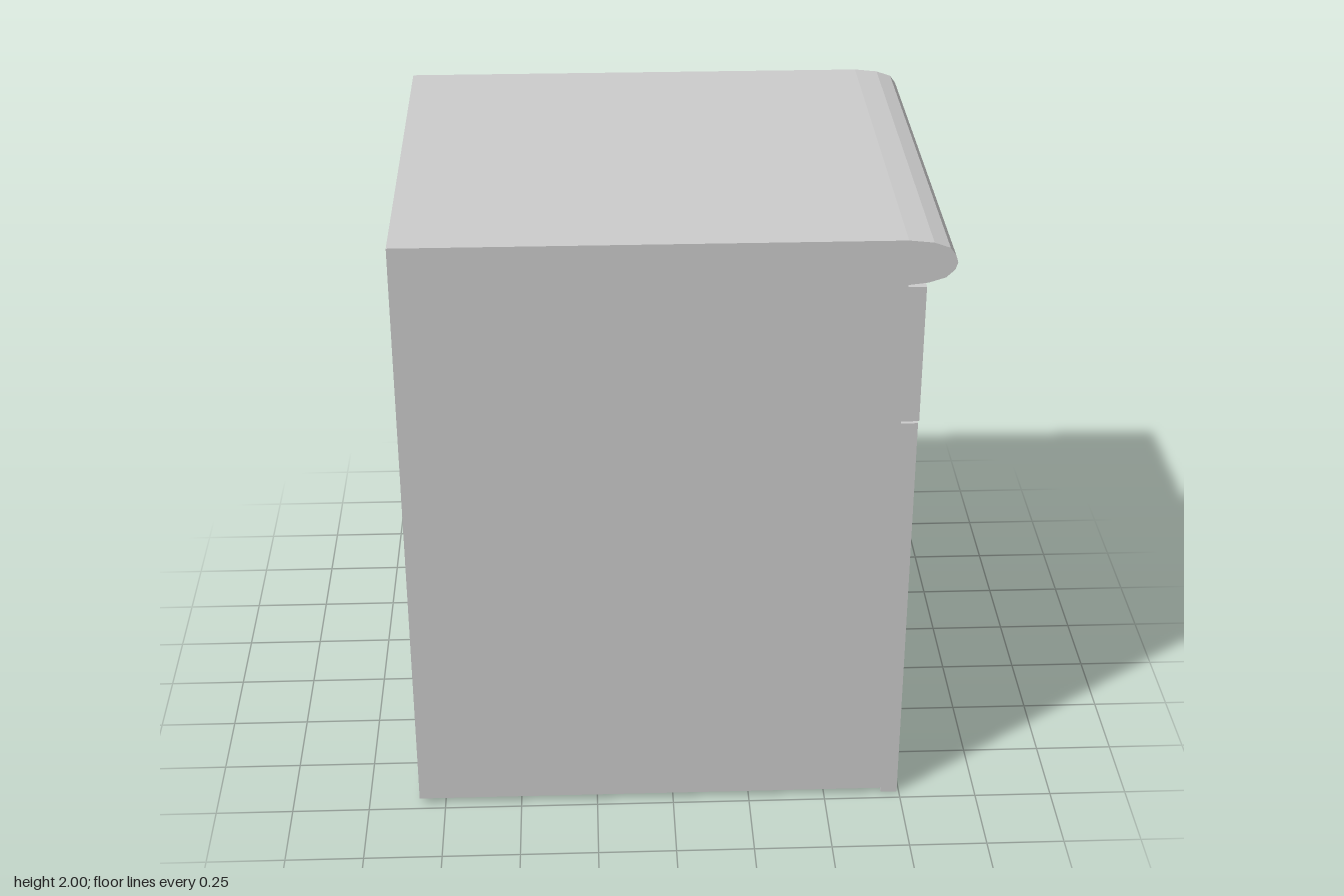
import * as THREE from 'three';

const material = new THREE.MeshStandardMaterial({ color: 0xcccccc });

function addMesh(parent, name, geometry, x = 0, y = 0, z = 0) {
  const mesh = new THREE.Mesh(geometry, material);
  mesh.name = name;
  mesh.position.set(x, y, z);
  parent.add(mesh);
  return mesh;
}

// Flat panel given by its limits in y, standing against the cabinet front
function addPanel(parent, name, y0, y1, thickness) {
  const z0 = -0.705, z1 = 0.718;
  const geometry = new THREE.BoxGeometry(thickness, y1 - y0, z1 - z0);
  addMesh(parent, name, geometry, 0.69 + thickness / 2, (y0 + y1) / 2, (z0 + z1) / 2);
}

export function createModel() {
  const group = new THREE.Group();
  group.name = 'bedsideCabinet';

  // Carcass with the rounded overhanging top edge, as one side profile
  const profile = [
    [-0.835, 0.02], [0.69, 0.02], [0.69, 1.857], [0.75, 1.864], [0.8, 1.88],
    [0.826, 1.905], [0.833, 1.928], [0.826, 1.95], [0.808, 1.975],
    [0.76, 1.992], [0.685, 2], [-0.835, 2],
  ].map(([x, y]) => new THREE.Vector2(x, y));
  const depth = 1.446;
  const body = new THREE.ExtrudeGeometry(new THREE.Shape(profile), { depth, bevelEnabled: false });
  addMesh(group, 'carcass', body, 0, 0, -depth / 2);

  // Door and drawer front with a narrow gap between them
  addPanel(group, 'door', 0, 1.391, 0.053);
  addPanel(group, 'drawerFront', 1.398, 1.848, 0.056);

  // Round knob: short stem, rounded rim, groove and domed centre
  const knobProfile = [
    [0.022, 0], [0.022, 0.009], [0.062, 0.009], [0.074, 0.011], [0.079, 0.017],
    [0.08, 0.023], [0.077, 0.03], [0.07, 0.034], [0.062, 0.034], [0.056, 0.036],
    [0.05, 0.044], [0.038, 0.052], [0.021, 0.057], [0, 0.059],
  ].map(([r, h]) => new THREE.Vector2(r, h));
  const knob = new THREE.LatheGeometry(knobProfile, 32).rotateZ(-Math.PI / 2);
  addMesh(group, 'drawerKnob', knob, 0.742, 1.655, 0.075);
  addMesh(group, 'doorKnob', knob, 0.742, 0.79, -0.513);

  return group;
}
